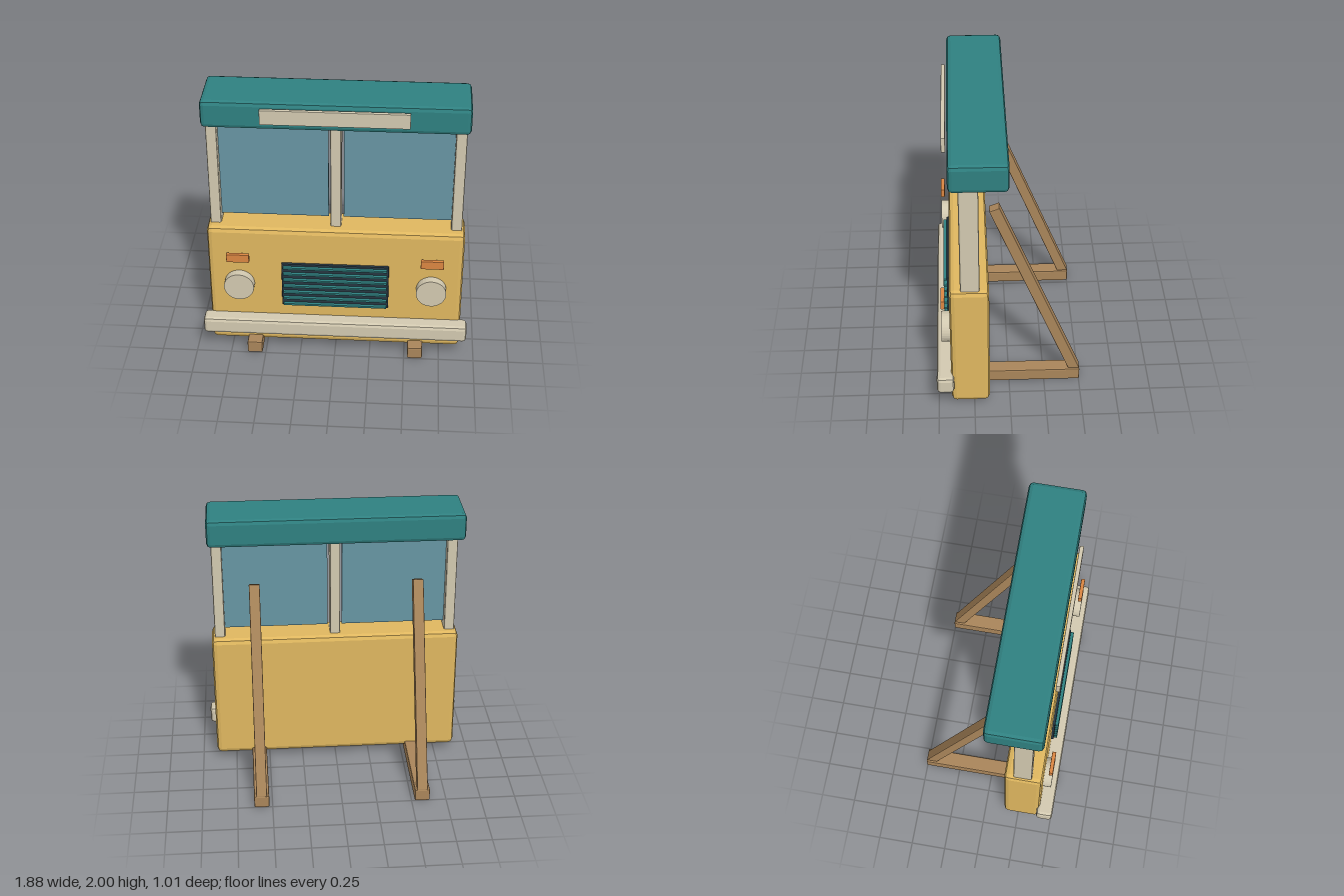
import * as THREE from 'three';
import { RoundedBoxGeometry } from 'three/addons/geometries/RoundedBoxGeometry.js';

const paint = (color) => new THREE.MeshStandardMaterial({ color, flatShading: true });
const yellow = paint(0xdfb75f);
const teal = paint(0x2f8080);
const cream = paint(0xd2c9b0);
const wood = paint(0xa9855a);
const glass = paint(0x6795a3);
const orange = paint(0xdb8642);
const dark = paint(0x263540);

export function createModel() {
  const model = new THREE.Group();
  model.name = 'busFrontStandee';

  // Box from min/max ranges, with optionally bevelled edges
  function box(name, material, [x0, x1], [y0, y1], [z0, z1], bevel = 0) {
    const size = [x1 - x0, y1 - y0, z1 - z0];
    const geometry = bevel
      ? new RoundedBoxGeometry(...size, 1, bevel)
      : new THREE.BoxGeometry(...size);
    const mesh = new THREE.Mesh(geometry, material);
    mesh.name = name;
    mesh.position.set((x0 + x1) / 2, (y0 + y1) / 2, (z0 + z1) / 2);
    model.add(mesh);
    return mesh;
  }

  // Main panels
  box('body', yellow, [-0.895, 0.895], [0.055, 1.015], [0.142, 0.41], 0.035);
  box('roof', teal, [-0.895, 0.895], [1.8, 2], [0.008, 0.4], 0.03);
  box('bumper', cream, [-0.94, 0.94], [0.17, 0.297], [0.39, 0.51], 0.025);
  box('signBoard', cream, [-0.495, 0.495], [1.86, 1.967], [0.41, 0.438], 0.004);
  box('centrePost', cream, [-0.037, 0.037], [0.99, 1.82], [0.205, 0.335], 0.012);

  // Grille with horizontal slats
  box('grille', dark, [-0.377, 0.377], [0.39, 0.745], [0.4, 0.429], 0.006);
  for (let i = 0; i < 7; i++) {
    const y = 0.41 + i * 0.0517;
    box('grilleSlat', teal, [-0.365, 0.365], [y - 0.008, y + 0.008], [0.42, 0.452], 0.003);
  }

  // Mirrored parts
  for (const [side, s] of [['left', 1], ['right', -1]]) {
    const span = (a, b) => (s > 0 ? [a, b] : [-b, -a]);
    box(side + 'Post', cream, span(0.798, 0.873), [0.99, 1.82], [0.205, 0.335], 0.012);
    box(side + 'Window', glass, span(0.052, 0.8), [1.062, 1.787], [0.26, 0.28]);
    box(side + 'Indicator', orange, span(0.597, 0.757), [0.772, 0.836], [0.442, 0.47], 0.004);
    box(side + 'Foot', wood, span(0.523, 0.631), [0, 0.093], [-0.505, 0.5], 0.01);

    // Headlight disc
    const lamp = new THREE.Mesh(new THREE.CylinderGeometry(0.106, 0.106, 0.065, 32), cream);
    lamp.name = side + 'Headlight';
    lamp.rotation.x = Math.PI / 2;
    lamp.position.set(s * 0.677, 0.56, 0.4375);
    model.add(lamp);

    // Sloping strut rising from the rear of the foot
    const bottom = new THREE.Vector3(s * 0.577, 0.075, -0.47);
    const top = new THREE.Vector3(s * 0.577, 1.481, 0.099);
    const strut = new THREE.Mesh(
      new RoundedBoxGeometry(0.076, bottom.distanceTo(top), 0.074, 1, 0.007), wood);
    strut.name = side + 'Strut';
    strut.position.addVectors(bottom, top).multiplyScalar(0.5);
    strut.rotation.x = Math.atan2(top.z - bottom.z, top.y - bottom.y);
    model.add(strut);
  }
  return model;
}
